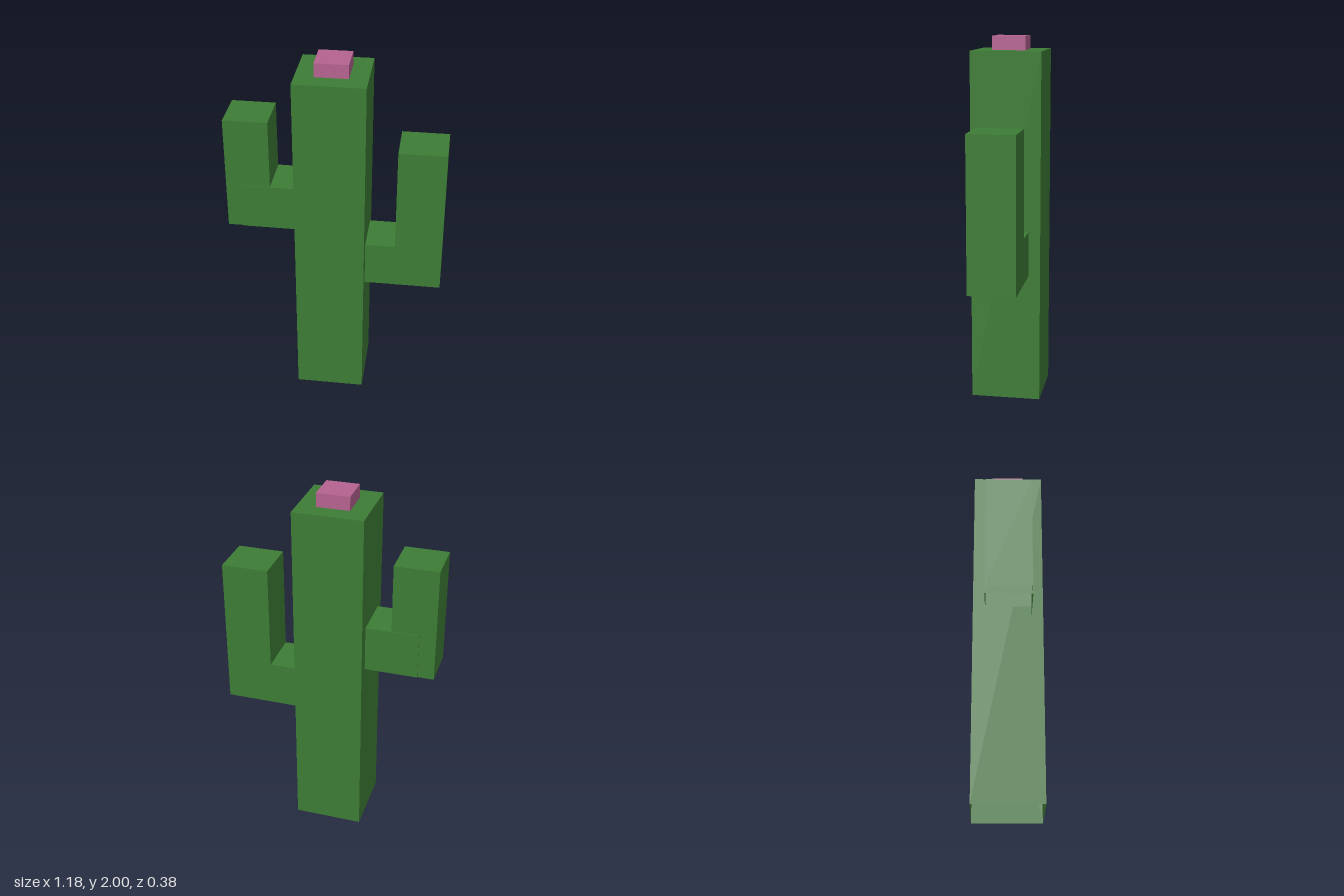
import * as THREE from 'three';

const green = new THREE.MeshStandardMaterial({ name: 'cactusGreen', color: 0x3d7c35, side: THREE.DoubleSide });
const pink = new THREE.MeshStandardMaterial({ name: 'blossomPink', color: 0xb5628f, side: THREE.DoubleSide });

// Box given by its limits on each axis, with an open underside
function openBox(name, material, [x0, x1], [y0, y1], [z0, z1]) {
  const geometry = new THREE.BoxGeometry(x1 - x0, y1 - y0, z1 - z0);
  const index = Array.from(geometry.index.array);
  index.splice(18, 6); // remove the bottom face
  geometry.setIndex(index);
  geometry.clearGroups();
  geometry.translate((x0 + x1) / 2, (y0 + y1) / 2, (z0 + z1) / 2);
  const mesh = new THREE.Mesh(geometry, material);
  mesh.name = name;
  return mesh;
}

// Arm: a branch out of the trunk and an upright rising from its end
function arm(name, branch, upright) {
  const group = new THREE.Group();
  group.name = name;
  group.add(openBox(name + 'Branch', green, ...branch));
  group.add(openBox(name + 'Upright', green, ...upright));
  return group;
}

export function createModel() {
  const cactus = new THREE.Group();
  cactus.name = 'cactus';

  cactus.add(openBox('trunk', green, [-0.21, 0.17], [0, 1.925], [-0.192, 0.19]));
  cactus.add(openBox('blossom', pink, [-0.11, 0.07], [1.925, 2], [-0.092, 0.088]));

  cactus.add(arm('leftArm',
    [[0.16, 0.52], [0.71, 0.96], [-0.128, 0.126]],
    [[0.333, 0.59], [0.71, 1.54], [-0.128, 0.126]]));
  cactus.add(arm('rightArm',
    [[-0.5, -0.2], [1.03, 1.285], [-0.128, 0.126]],
    [[-0.59, -0.35], [1.03, 1.668], [-0.123, 0.121]]));

  return cactus;
}
